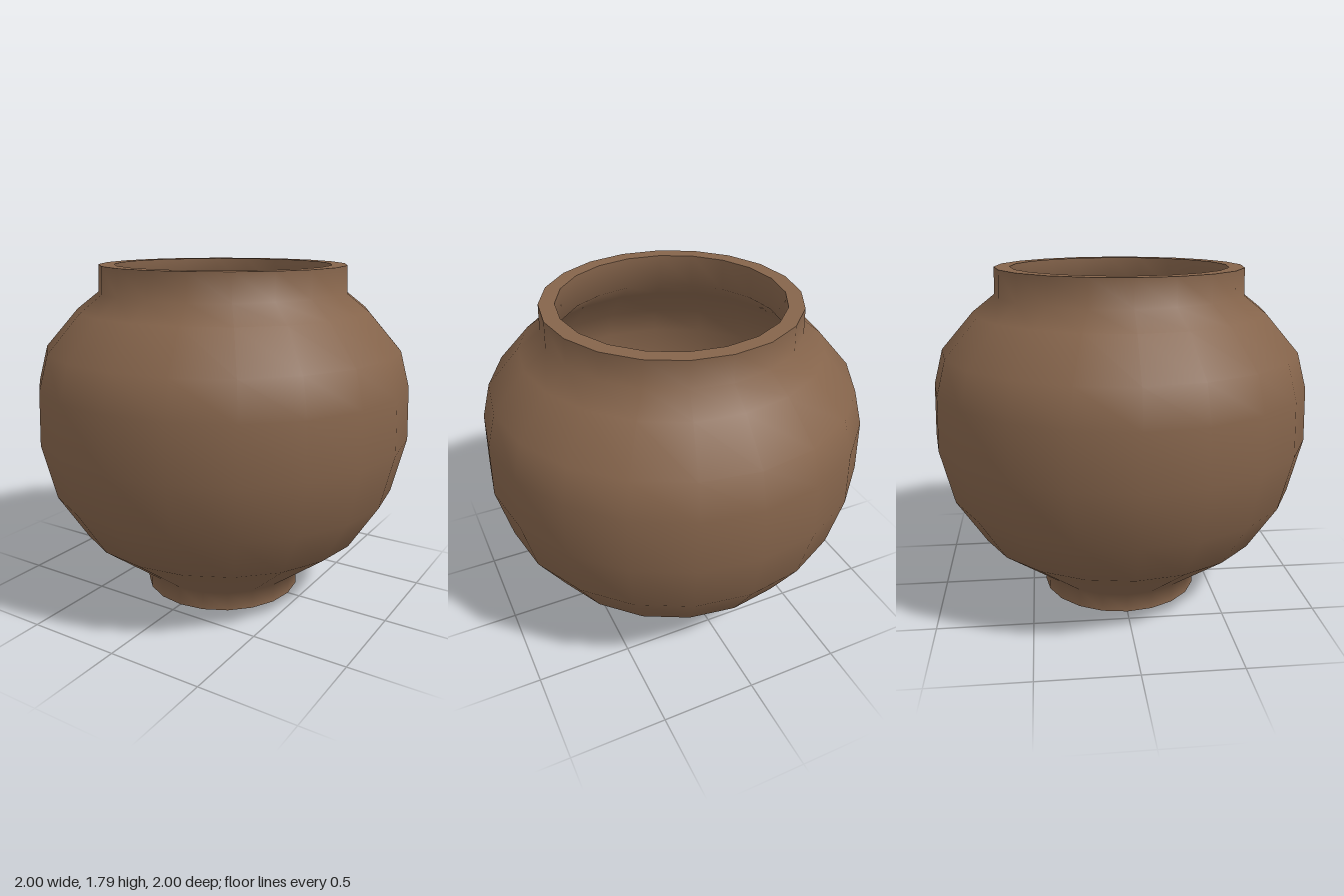
import * as THREE from 'three';

export function createModel() {
  const pot = new THREE.Group();
  pot.name = 'pot';
  const clay = new THREE.MeshStandardMaterial({ color: 0x85644b });
  clay.name = 'brown clay';

  // Each smooth section is its own lathe, so the edges between sections stay sharp.
  const turn = (name, profile) => {
    const points = profile.map(([r, y]) => new THREE.Vector2(r, y));
    const mesh = new THREE.Mesh(new THREE.LatheGeometry(points, 20), clay);
    mesh.name = name;
    pot.add(mesh);
  };

  // Underside of the foot
  turn('base', [[0, 0], [0.43, 0]]);

  // Foot, round belly, shoulder and neck
  turn('outerWall', [
    [0.43, 0], [0.43, 0.1], [0.775, 0.365], [0.93, 0.61], [1, 0.9], [0.99, 1.18],
    [0.94, 1.365], [0.77, 1.56], [0.655, 1.65], [0.65, 1.79],
  ]);

  // Flat lip around the mouth
  turn('rim', [[0.65, 1.79], [0.57, 1.79]]);

  // Hollow inside, following the outer wall
  turn('innerWall', [
    [0.57, 1.79], [0.575, 1.62], [0.71, 1.51], [0.87, 1.33], [0.92, 1.17],
    [0.93, 0.91], [0.86, 0.64], [0.72, 0.42], [0.37, 0.15],
  ]);

  // Flat floor inside
  turn('floor', [[0.37, 0.15], [0, 0.15]]);

  return pot;
}
